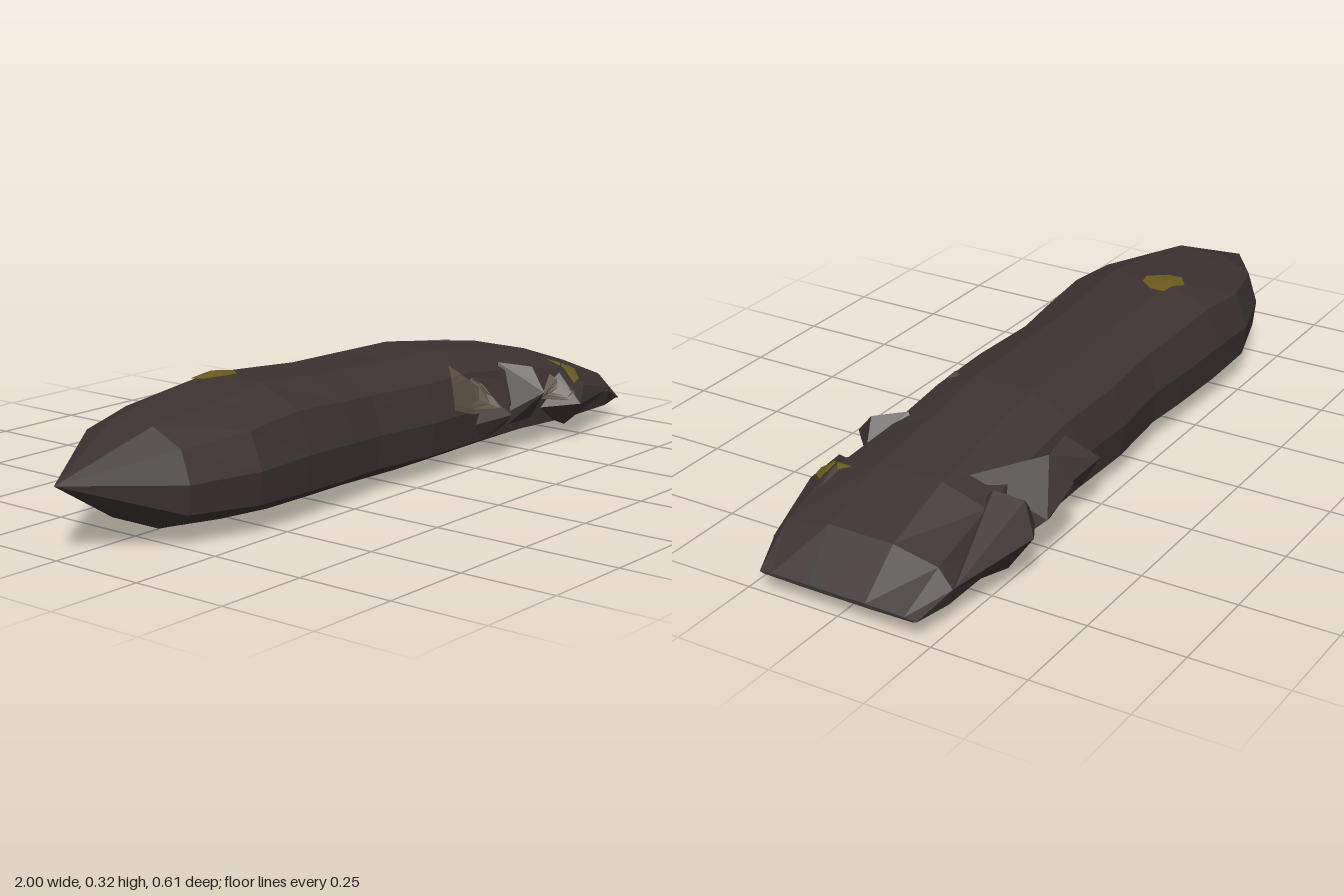
import * as THREE from 'three';
import { ConvexGeometry } from 'three/addons/geometries/ConvexGeometry.js';

const flat = (name, color, extra = {}) =>
  Object.assign(new THREE.MeshStandardMaterial({ color, flatShading: true, ...extra }), { name });

// Stations along the rock: [x, bottom, top, half width]
const STATIONS = [
  [-1, 0.175, 0.175, 0], [-0.75, 0.035, 0.275, 0.178], [-0.57, 0.022, 0.298, 0.236],
  [-0.4, 0.01, 0.32, 0.236], [-0.22, 0.007, 0.307, 0.225], [-0.1, 0.005, 0.298, 0.213],
  [0.1, 0.003, 0.293, 0.23], [0.3, 0.003, 0.29, 0.225], [0.5, 0.005, 0.26, 0.225],
  [0.7, 0.008, 0.23, 0.245], [0.9, 0.025, 0.165, 0.245], [1, 0.05, 0.06, 0.215],
];
// Cross-section corners: [share of half width, share of height]
const HALF = [[0.42, 0], [0.95, 0.2], [1, 0.5], [0.85, 0.83], [0.36, 1]];
const RING = [...HALF, ...HALF.map(([w, h]) => [-w, h]).reverse()];

function loft() {
  const n = RING.length, pos = [], index = [];
  for (const [x, b, t, w] of STATIONS)
    for (const [rw, rh] of RING) pos.push(x, b + (t - b) * rh, w * rw);
  for (let i = 0; i < STATIONS.length - 1; i++)
    for (let j = 0; j < n; j++) {
      const a = i * n + j, d = i * n + (j + 1) % n;
      if (i > 0) index.push(a, a + n, d);
      index.push(a + n, d + n, d);
    }
  // Narrow cap at the blunt end
  const last = (STATIONS.length - 1) * n;
  for (let j = 1; j < n - 1; j++) index.push(last, last + j, last + j + 1);
  for (let k = index.length - 3 * (n - 2); k < index.length; k += 3)
    [index[k + 1], index[k + 2]] = [index[k + 2], index[k + 1]];
  const g = new THREE.BufferGeometry();
  g.setAttribute('position', new THREE.Float32BufferAttribute(pos, 3));
  g.setIndex(index);
  const out = g.toNonIndexed();
  out.computeVertexNormals();
  return out;
}

// Jagged outcrops on the two flanks
const KNOTS = {
  frontKnotA: [[0.27, 0.1, 0.2], [0.36, 0.13, 0.285], [0.33, 0.06, 0.22], [0.44, 0.08, 0.21],
    [0.44, 0.2, 0.2], [0.3, 0.23, 0.2], [0.36, 0.12, 0.1]],
  frontKnotB: [[0.42, 0.1, 0.2], [0.49, 0.17, 0.3], [0.51, 0.23, 0.245], [0.57, 0.17, 0.22],
    [0.56, 0.06, 0.2], [0.43, 0.06, 0.2], [0.5, 0.15, 0.1], [0.46, 0.24, 0.17]],
  frontKnotC: [[0.55, 0.1, 0.2], [0.66, 0.11, 0.305], [0.65, 0.19, 0.24], [0.72, 0.205, 0.2],
    [0.72, 0.15, 0.275], [0.8, 0.1, 0.265], [0.92, 0.1, 0.235], [0.68, 0.04, 0.24],
    [0.85, 0.14, 0.2], [0.7, 0.1, 0.1]],
  backKnotA: [[0.23, 0.12, -0.2], [0.3, 0.16, -0.275], [0.34, 0.22, -0.2], [0.4, 0.12, -0.24],
    [0.3, 0.07, -0.22], [0.42, 0.2, -0.2], [0.3, 0.12, -0.1]],
  backKnotB: [[0.38, 0.1, -0.22], [0.46, 0.17, -0.295], [0.48, 0.24, -0.24], [0.58, 0.13, -0.295],
    [0.65, 0.235, -0.13], [0.46, 0.06, -0.23], [0.62, 0.08, -0.24], [0.5, 0.1, -0.1]],
  backKnotC: [[0.56, 0.12, -0.25], [0.66, 0.125, -0.308], [0.75, 0.12, -0.28], [0.9, 0.1, -0.25],
    [0.66, 0.22, -0.2], [0.68, 0.04, -0.25], [0.62, 0.19, -0.26], [0.7, 0.1, -0.1]],
};

// Thin patch: an outline dropped onto the rock along a direction, in small rings
function patch(outline, dir, targets) {
  const ray = new THREE.Raycaster(), rings = 4, n = outline.length, pos = [], index = [];
  const c = outline.reduce((s, p) => [s[0] + p[0] / n, s[1] + p[1] / n], [0, 0]);
  for (let r = 0; r <= rings; r++)
    for (const p of outline) {
      const u = c[0] + (p[0] - c[0]) * r / rings, v = c[1] + (p[1] - c[1]) * r / rings;
      const from = dir.y ? new THREE.Vector3(u, 1, v) : new THREE.Vector3(u, v, 1);
      ray.set(from, dir);
      const hit = ray.intersectObjects(targets, false)[0];
      const q = hit ? hit.point : from.addScaledVector(dir, 0.8);
      q.addScaledVector(dir, -0.005);
      pos.push(q.x, q.y, q.z);
    }
  for (let r = 0; r < rings; r++)
    for (let j = 0; j < n; j++) {
      const a = r * n + j, b = r * n + (j + 1) % n;
      index.push(a, a + n, b + n);
      if (r > 0) index.push(a, b + n, b);
    }
  const g = new THREE.BufferGeometry();
  g.setAttribute('position', new THREE.Float32BufferAttribute(pos, 3));
  g.setIndex(index);
  g.computeVertexNormals();
  return g;
}

export function createModel() {
  const group = new THREE.Group();
  group.name = 'rock';
  const stone = flat('dark stone', 0x3c3232);
  const ore = flat('yellow ore', 0x6b5a1e);
  const pale = flat('pale stone', 0x574e3e);
  const add = (name, geometry, material) => {
    const m = new THREE.Mesh(geometry, material);
    m.name = name;
    group.add(m);
    return m;
  };

  const solid = [add('body', loft(), stone)];
  for (const [name, pts] of Object.entries(KNOTS))
    solid.push(add(name, new ConvexGeometry(pts.map(p => new THREE.Vector3(...p))), stone));
  solid.forEach(m => m.updateMatrixWorld());

  const down = new THREE.Vector3(0, -1, 0), inward = new THREE.Vector3(0, 0, -1);
  // Ore flecks: one on the crest, one on the front flank
  add('crestOre', patch([[-0.46, -0.09], [-0.45, -0.055], [-0.4, -0.015], [-0.37, -0.02],
    [-0.34, -0.06], [-0.35, -0.095], [-0.39, -0.1], [-0.43, -0.115]].reverse()
    .reverse(), down, solid), ore);
  add('flankOre', patch([[0.68, 0.16], [0.72, 0.165], [0.76, 0.18], [0.74, 0.19],
    [0.71, 0.207], [0.69, 0.195]], inward, solid), ore);
  // Pale facets among the front outcrops
  add('paleFacetLarge', patch([[0.19, 0.165], [0.27, 0.14], [0.34, 0.15], [0.32, 0.21],
    [0.26, 0.262], [0.21, 0.24]], inward, solid), pale);
  add('paleFacetSmall', patch([[0.57, 0.13], [0.64, 0.12], [0.66, 0.14], [0.64, 0.185]],
    inward, solid), pale);
  return group;
}
